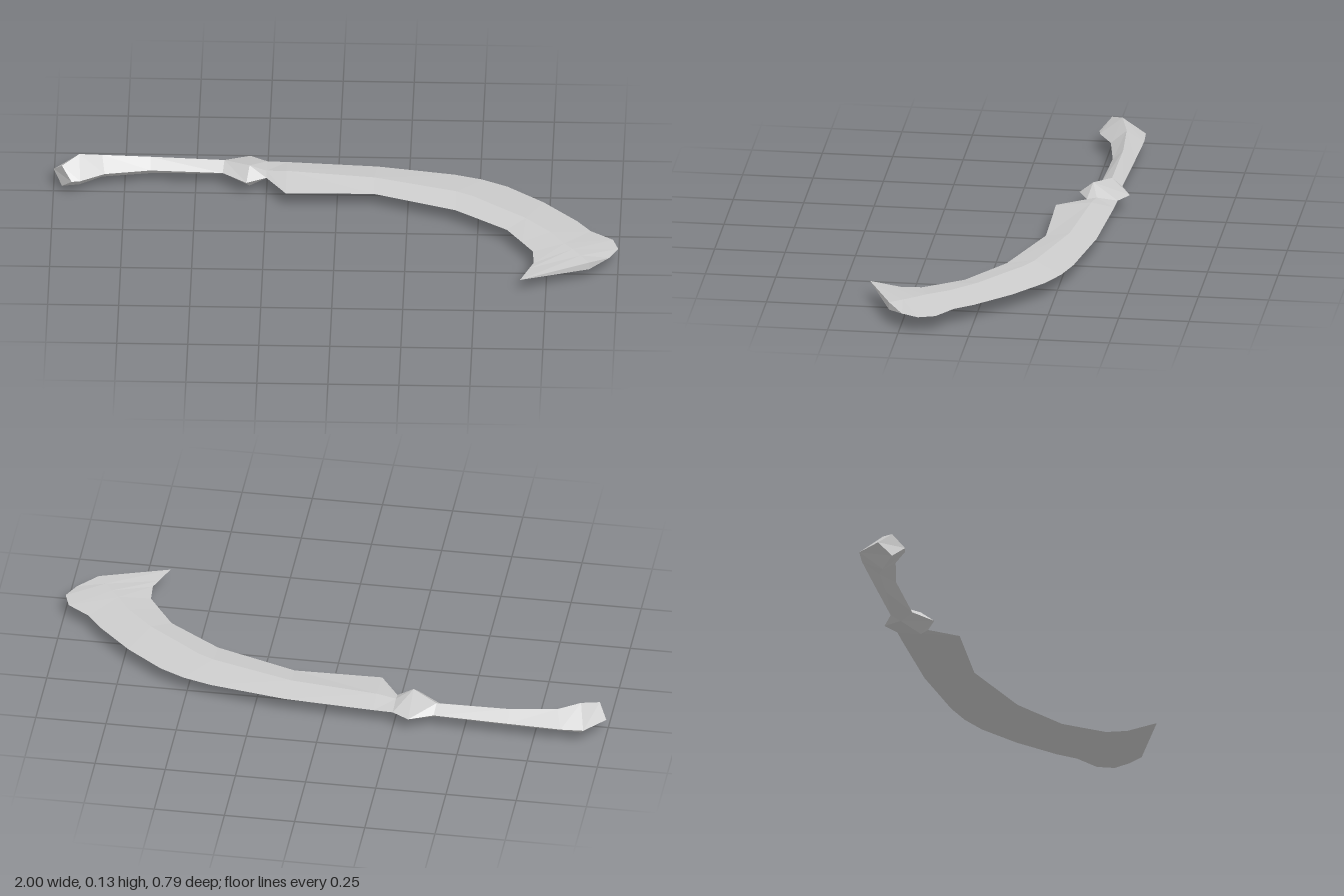
import * as THREE from 'three';

const MID = 0.063; // height of the flat mid-plane

// Each section is a diamond: back x,z, ridge x,z, front x,z, ridge half-height
const pommelSections = [
  [-1.0, -0.295, -0.97, -0.25, -0.935, -0.21, 0.042],
  [-0.93, -0.375, -0.91, -0.295, -0.905, -0.215, 0.063],
  [-0.85, -0.38, -0.83, -0.32, -0.82, -0.265, 0.045],
];
const gripSections = [
  pommelSections[2],
  [-0.66, -0.373, -0.66, -0.33, -0.66, -0.293, 0.034],
  [-0.395, -0.362, -0.4, -0.325, -0.405, -0.283, 0.028],
];
const guardSections = [
  gripSections[2],
  [-0.31, -0.4, -0.31, -0.27, -0.32, -0.22, 0.042],
  [-0.25, -0.365, -0.25, -0.29, -0.25, -0.255, 0.008],
];
const bladeSections = [
  guardSections[2],
  [-0.18, -0.362, -0.18, -0.28, -0.18, -0.155, 0.015],
  [0.14, -0.341, 0.13, -0.245, 0.13, -0.16, 0.015],
  [0.41, -0.295, 0.42, -0.16, 0.42, -0.06, 0.016],
  [0.51, -0.265, 0.48, -0.13, 0.48, -0.02, 0.016],
  [0.6, -0.22, 0.56, -0.07, 0.54, 0.021, 0.016],
  [0.73, -0.12, 0.67, 0.01, 0.605, 0.065, 0.016],
  [0.85, 0.0, 0.76, 0.1, 0.66, 0.145, 0.016],
  [0.9, 0.065, 0.81, 0.175, 0.7, 0.205, 0.016],
  [0.98, 0.12, 0.84, 0.21, 0.705, 0.28, 0.016],
  [1.0, 0.18, 0.87, 0.25, 0.69, 0.317, 0.015],
  [0.97, 0.24, 0.9, 0.295, 0.66, 0.394, 0.014],
];

// Skin a run of diamond sections, optionally closing either end
function loft(sections, capStart, capEnd) {
  const rings = sections.map(([bx, bz, rx, rz, fx, fz, h]) => [
    [bx, MID, bz], [rx, MID + h, rz], [fx, MID, fz], [rx, MID - h, rz],
  ]);
  const pos = [];
  const tri = (a, b, c) => pos.push(...a, ...b, ...c);
  for (let i = 0; i < rings.length - 1; i++) {
    for (let j = 0; j < 4; j++) {
      const k = (j + 1) % 4;
      const a = rings[i], b = rings[i + 1];
      // Mirror the diagonal on the lower faces so both sides match
      if (j === 0 || j === 2) {
        tri(a[j], a[k], b[j]);
        tri(a[k], b[k], b[j]);
      } else {
        tri(a[j], a[k], b[k]);
        tri(a[j], b[k], b[j]);
      }
    }
  }
  const s = rings[0], e = rings[rings.length - 1];
  if (capStart) { tri(s[0], s[2], s[1]); tri(s[0], s[3], s[2]); }
  if (capEnd) { tri(e[0], e[1], e[3]); tri(e[1], e[2], e[3]); }
  const geo = new THREE.BufferGeometry();
  geo.setAttribute('position', new THREE.Float32BufferAttribute(pos, 3));
  geo.computeVertexNormals(); // unshared corners give flat facets
  return geo;
}

export function createModel() {
  const model = new THREE.Group();
  model.name = 'curvedSword';
  const steel = new THREE.MeshStandardMaterial({ color: 0xcccccc });
  steel.name = 'paleGrey';

  const add = (name, ...args) => {
    const mesh = new THREE.Mesh(loft(...args), steel);
    mesh.name = name;
    model.add(mesh);
  };
  add('pommel', pommelSections, true, false);
  add('grip', gripSections, false, false);
  add('guard', guardSections, false, false);
  add('blade', bladeSections, false, true);
  return model;
}
